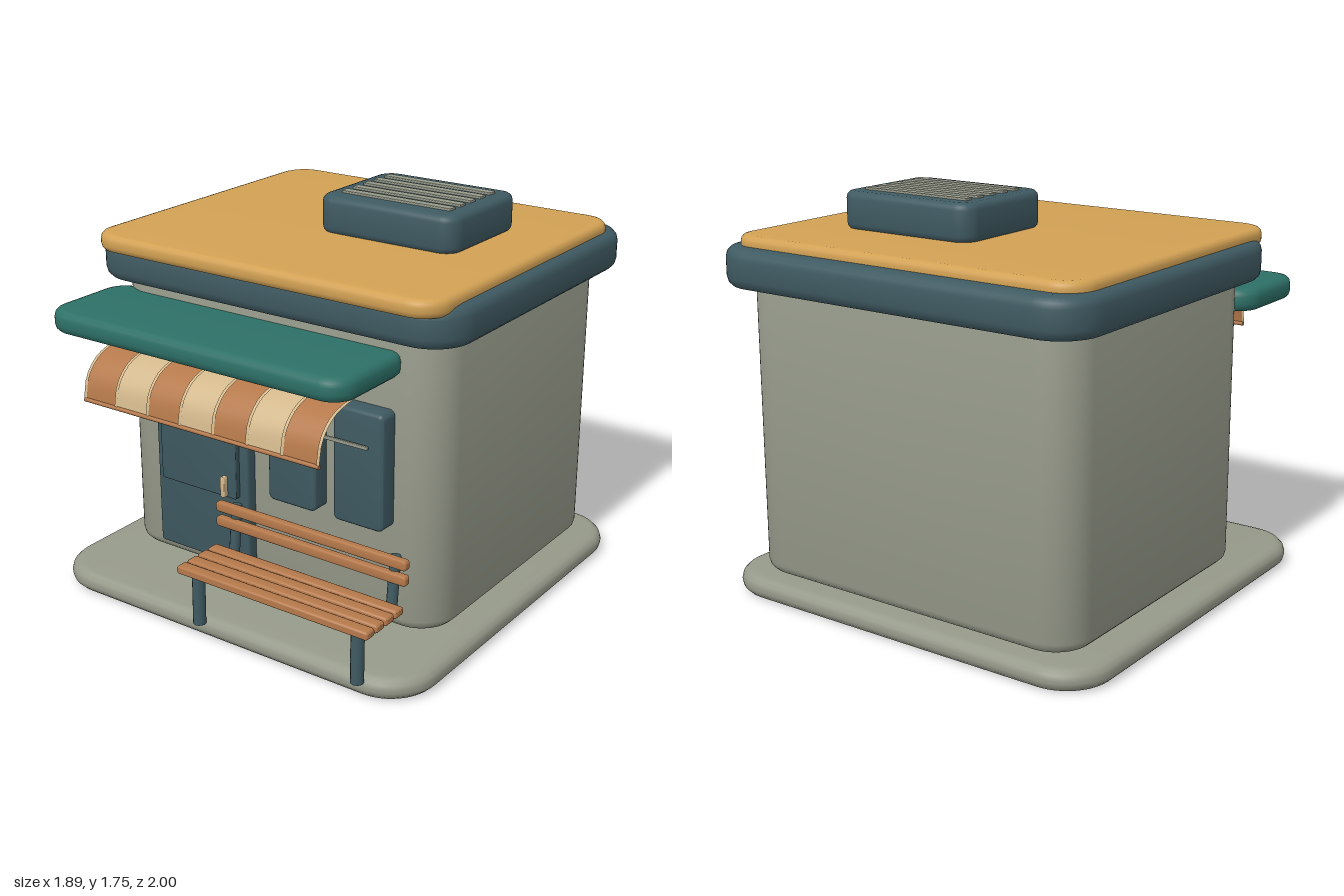
import * as THREE from 'three';
import { toCreasedNormals } from 'three/addons/utils/BufferGeometryUtils.js';

const mat = (name, color, side = THREE.FrontSide) => {
  const m = new THREE.MeshStandardMaterial({ color, side });
  m.name = name;
  return m;
};

export function createModel() {
  const group = new THREE.Group();
  const stone = mat('stone', 0x969a8a);
  const slate = mat('slate', 0x3f5a62);
  const gold = mat('gold', 0xd2a154);
  const green = mat('green', 0x2d7067);
  const wood = mat('wood', 0xb5794b, THREE.DoubleSide);
  const cream = mat('cream', 0xd3b88c, THREE.DoubleSide);

  const add = (name, geo, material, parent = group) => {
    const mesh = new THREE.Mesh(geo, material);
    mesh.name = name;
    parent.add(mesh);
    return mesh;
  };
  const sub = (name) => {
    const g = new THREE.Group();
    g.name = name;
    group.add(g);
    return g;
  };

  // Rounded rectangle with bevelled rims, centred on the origin, thick along z
  const roundedPlate = (w, h, d, radius, bevel) => {
    const a = w / 2 - bevel, b = h / 2 - bevel, r = Math.max(radius - bevel, 0.004);
    const s = new THREE.Shape();
    s.absarc(a - r, b - r, r, 0, Math.PI / 2);
    s.absarc(-a + r, b - r, r, Math.PI / 2, Math.PI);
    s.absarc(-a + r, -b + r, r, Math.PI, Math.PI * 1.5);
    s.absarc(a - r, -b + r, r, Math.PI * 1.5, Math.PI * 2);
    const geo = new THREE.ExtrudeGeometry(s, {
      depth: d - 2 * bevel, bevelThickness: bevel, bevelSize: bevel, bevelSegments: 3, curveSegments: 6,
    });
    geo.translate(0, 0, bevel - d / 2);
    return toCreasedNormals(geo, 0.6);
  };
  // Lying slab and standing panel, given as [min, max] ranges
  const slab = (name, [x0, x1], [y0, y1], [z0, z1], r, b, m, parent) => {
    const geo = roundedPlate(x1 - x0, z1 - z0, y1 - y0, r, b).rotateX(-Math.PI / 2);
    geo.translate((x0 + x1) / 2, (y0 + y1) / 2, (z0 + z1) / 2);
    return add(name, geo, m, parent);
  };
  const panel = (name, [x0, x1], [y0, y1], [z0, z1], r, b, m, parent) => {
    const geo = roundedPlate(x1 - x0, y1 - y0, z1 - z0, r, b);
    geo.translate((x0 + x1) / 2, (y0 + y1) / 2, (z0 + z1) / 2);
    return add(name, geo, m, parent);
  };

  // Building shell and roof
  slab('base', [-0.95, 0.945], [0, 0.095], [-0.985, 0.855], 0.22, 0.045, stone);
  slab('walls', [-0.83, 0.825], [0.105, 1.42], [-0.905, 0.47], 0.17, 0.045, stone);
  slab('roofBand', [-0.915, 0.91], [1.365, 1.535], [-1, 0.55], 0.19, 0.045, slate);
  slab('roofTop', [-0.87, 0.865], [1.5, 1.577], [-0.92, 0.585], 0.13, 0.028, gold);
  slab('canopy', [-0.865, 0.655], [1.215, 1.315], [0.4, 0.88], 0.11, 0.035, green);

  // Roof vent
  const vent = sub('roofVent');
  slab('ventBox', [-0.09, 0.59], [1.57, 1.735], [-0.535, 0.01], 0.08, 0.03, slate, vent);
  for (let i = 0; i < 5; i++) {
    const z = -0.428 + i * 0.081;
    slab('ventSlat', [-0.02, 0.52], [1.725, 1.745], [z - 0.022, z + 0.022], 0.005, 0.003, stone, vent);
  }

  // Door
  const door = sub('door');
  panel('doorFrame', [-0.585, -0.08], [0.175, 1.2], [0.44, 0.52], 0.015, 0.012, slate, door);
  panel('doorPanel', [-0.54, -0.125], [0.505, 1.155], [0.5, 0.547], 0.01, 0.006, slate, door);
  panel('doorHandle', [-0.195, -0.17], [0.51, 0.605], [0.54, 0.57], 0.008, 0.005, cream, door);
  panel('doorRail', [-0.61, -0.06], [1.188, 1.216], [0.645, 0.685], 0.008, 0.006, cream, door);

  // Windows with a rail across
  for (const x of [0.055, 0.385])
    panel('window', [x, x + 0.24], [0.565, 1.07], [0.455, 0.555], 0.025, 0.015, slate);
  panel('windowRail', [0.05, 0.565], [0.918, 0.934], [0.563, 0.575], 0.005, 0.003, stone);

  // Striped awning: curved strips bent from flat planes
  const awning = sub('awning');
  const curve = new THREE.CatmullRomCurve3([
    [0.74, 1.216], [0.83, 1.205], [0.91, 1.175], [0.97, 1.108], [0.99, 1.02],
  ].map(([z, y]) => new THREE.Vector3(0, y, z)));
  const strip = (x, w, lift) => {
    const geo = new THREE.PlaneGeometry(w, 1, 1, 10);
    const p = geo.attributes.position;
    for (let i = 0; i < p.count; i++) {
      const c = curve.getPoint(0.5 - p.getY(i));
      p.setXYZ(i, p.getX(i) + x, c.y + lift, c.z + lift);
    }
    geo.computeVertexNormals();
    return geo;
  };
  const pitch = 1.165 / 7;
  for (let i = 0; i < 7; i++)
    add('awningStripe', strip(-0.535 + pitch * (i + 0.5), pitch, 0), i % 2 ? cream : wood, awning);
  for (let i = 0; i <= 7; i++)
    add('awningRib', strip(-0.535 + pitch * i, 0.014, 0.004), cream, awning);
  const rod = new THREE.CylinderGeometry(0.009, 0.009, 1.175, 10).rotateZ(Math.PI / 2);
  add('awningRod', rod, wood, awning).position.set(0.0475, 1.018, 0.99);

  // Bench
  const bench = sub('bench');
  const slats = [[0.885, 0.322, 0.056], [0.818, 0.322, 0.056], [0.75, 0.322, 0.056], [0.683, 0.322, 0.056],
    [0.632, 0.441, 0.036], [0.632, 0.509, 0.036]];
  for (const [z, y, d] of slats) {
    const h = d > 0.05 ? 0.036 : 0.044;
    panel('benchSlat', [-0.155, 0.8], [y - h / 2, y + h / 2], [z - d / 2, z + d / 2], 0.012, 0.009, wood, bench);
  }
  // Bent side frames: front leg, seat bearer, back support
  const bends = [[0.865, 0.075], [0.862, 0.292], [0.625, 0.29], [0.6, 0.52]];
  for (const x of [-0.078, 0.722]) {
    for (let i = 0; i < 3; i++) {
      const a = new THREE.Vector3(x, bends[i][1], bends[i][0]);
      const b = new THREE.Vector3(x, bends[i + 1][1], bends[i + 1][0]);
      const r = i === 0 ? 0.028 : 0.023;
      const bar = add('benchFrame', new THREE.CylinderGeometry(r, r, a.distanceTo(b), 12), slate, bench);
      bar.position.copy(a).lerp(b, 0.5);
      bar.quaternion.setFromUnitVectors(new THREE.Vector3(0, 1, 0), b.sub(a).normalize());
      if (i > 0) add('benchJoint', new THREE.SphereGeometry(0.026, 12, 8), slate, bench).position.copy(a);
    }
  }
  return group;
}
